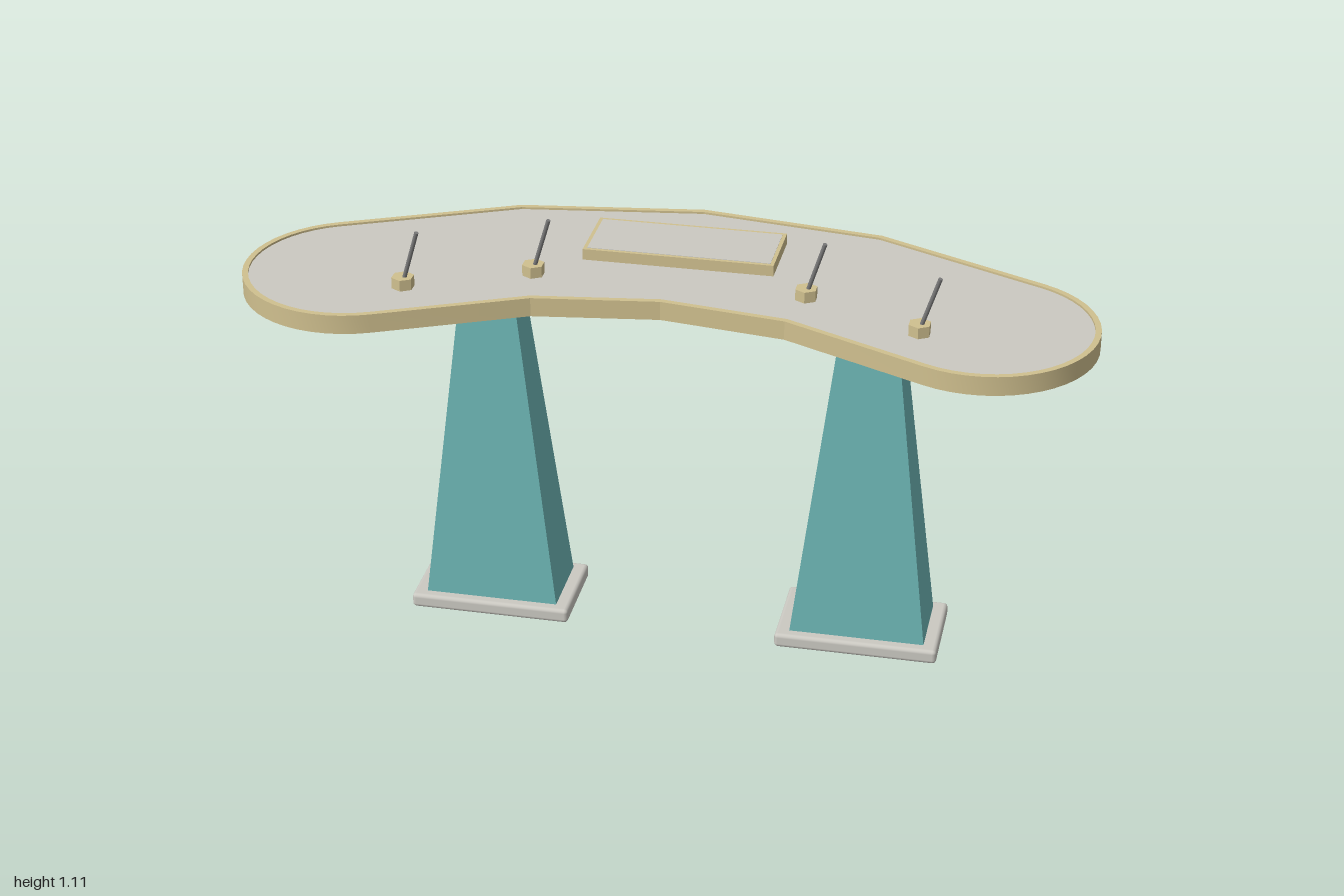
import * as THREE from 'three';
import { toCreasedNormals } from 'three/addons/utils/BufferGeometryUtils.js';
import { RoundedBoxGeometry } from 'three/addons/geometries/RoundedBoxGeometry.js';

// Centreline of the curved desk, as (x, -z)
const SPINE = [[-0.74, -0.113], [-0.37, 0.06], [0, 0.112], [0.37, 0.06], [0.74, -0.113]]
  .map(([x, y]) => new THREE.Vector2(x, y));

// Points at distance r around the centreline: mitred bends, round ends
function outline(r) {
  const bend = (i, side) => {
    const a = SPINE[i].clone().sub(SPINE[i - 1]).angle();
    const b = SPINE[i + 1].clone().sub(SPINE[i]).angle();
    const half = Math.atan2(Math.sin(b - a), Math.cos(b - a)) / 2;
    const m = a + half + side * Math.PI / 2, d = r / Math.cos(half);
    return new THREE.Vector2(SPINE[i].x + d * Math.cos(m), SPINE[i].y + d * Math.sin(m));
  };
  const cap = (p, q) => {
    const a = p.clone().sub(q).angle();
    return Array.from({ length: 25 }, (_, k) => {
      const t = a - Math.PI / 2 + Math.PI * k / 24;
      return new THREE.Vector2(p.x + r * Math.cos(t), p.y + r * Math.sin(t));
    });
  };
  return [
    ...[1, 2, 3].map(i => bend(i, -1)), ...cap(SPINE[4], SPINE[3]),
    ...[3, 2, 1].map(i => bend(i, 1)), ...cap(SPINE[0], SPINE[1]),
  ];
}

// Horizontal slab between two heights, with an optional hole
function slab(points, y0, y1, hole) {
  const shape = new THREE.Shape(points);
  if (hole) shape.holes.push(new THREE.Path(hole));
  const g = new THREE.ExtrudeGeometry(shape, { depth: y1 - y0, bevelEnabled: false });
  g.rotateX(-Math.PI / 2).translate(0, y0, 0);
  return toCreasedNormals(g, 0.15);
}

export function createModel() {
  const mat = (name, color) => {
    const m = new THREE.MeshStandardMaterial({ color });
    m.name = name;
    return m;
  };
  const tan = mat('tan trim', 0xd0c08f);
  const grey = mat('light grey', 0xcbc9c2);
  const brown = mat('dark brown', 0x6e4a36);
  const teal = mat('teal', 0x6db5b4);
  const metal = mat('metal', 0x7c7c7c);

  const model = new THREE.Group();
  model.name = 'curvedDesk';
  const add = (name, geometry, material, parent = model) => {
    const mesh = new THREE.Mesh(geometry, material);
    mesh.name = name;
    parent.add(mesh);
    return mesh;
  };

  // Desk: grey board inside a slightly raised rim, on a brown under-panel
  add('deskRim', slab(outline(0.26), 0.92, 0.966, outline(0.246)), tan);
  add('deskBoard', slab(outline(0.246), 0.921, 0.961), grey);
  add('underPanel', slab(outline(0.172), 0.888, 0.922), brown);

  // Raised console with a grey top plate
  add('console', new THREE.BoxGeometry(0.456, 0.03, 0.184), tan).position.set(0, 0.973, -0.138);
  add('consoleTop', new THREE.BoxGeometry(0.438, 0.004, 0.166), grey).position.set(0, 0.987, -0.138);

  // Tapered legs on rounded feet
  for (const side of [-1, 1]) {
    const pedestal = new THREE.Group();
    pedestal.name = side > 0 ? 'leftPedestal' : 'rightPedestal';
    pedestal.position.set(side * 0.46, 0, -0.0725);
    model.add(pedestal);

    const legGeo = new THREE.BoxGeometry(1, 0.86, 1);
    const p = legGeo.attributes.position;
    for (let i = 0; i < p.count; i++) {
      const top = p.getY(i) > 0;
      p.setX(i, p.getX(i) * (top ? 0.124 : 0.332));
      p.setZ(i, p.getZ(i) * (top ? 0.092 : 0.186));
    }
    const leg = legGeo.toNonIndexed();
    leg.computeVertexNormals();
    add('leg', leg, teal, pedestal).position.y = 0.465;
    add('foot', new RoundedBoxGeometry(0.4, 0.037, 0.237, 2, 0.01), grey, pedestal).position.y = 0.0195;
  }

  // Microphones: hexagonal sockets with slanted rods
  const lean = new THREE.Vector3(0.044, 0.14, 0.02);
  for (const [x, z] of [[-0.6, 0.183], [-0.322, 0.055], [0.322, 0.055], [0.6, 0.183]]) {
    const mic = new THREE.Group();
    mic.name = 'microphone';
    mic.position.set(x, 0.961, z);
    model.add(mic);
    const socket = new THREE.CylinderGeometry(0.027, 0.027, 0.027, 6).toNonIndexed();
    socket.computeVertexNormals();
    add('socket', socket, tan, mic).position.y = 0.0135;
    const rod = add('rod', new THREE.CylinderGeometry(0.005, 0.005, lean.length(), 8), metal, mic);
    rod.position.set(0, 0.01, 0).addScaledVector(lean, 0.5);
    rod.quaternion.setFromUnitVectors(new THREE.Vector3(0, 1, 0), lean.clone().normalize());
  }

  return model;
}
